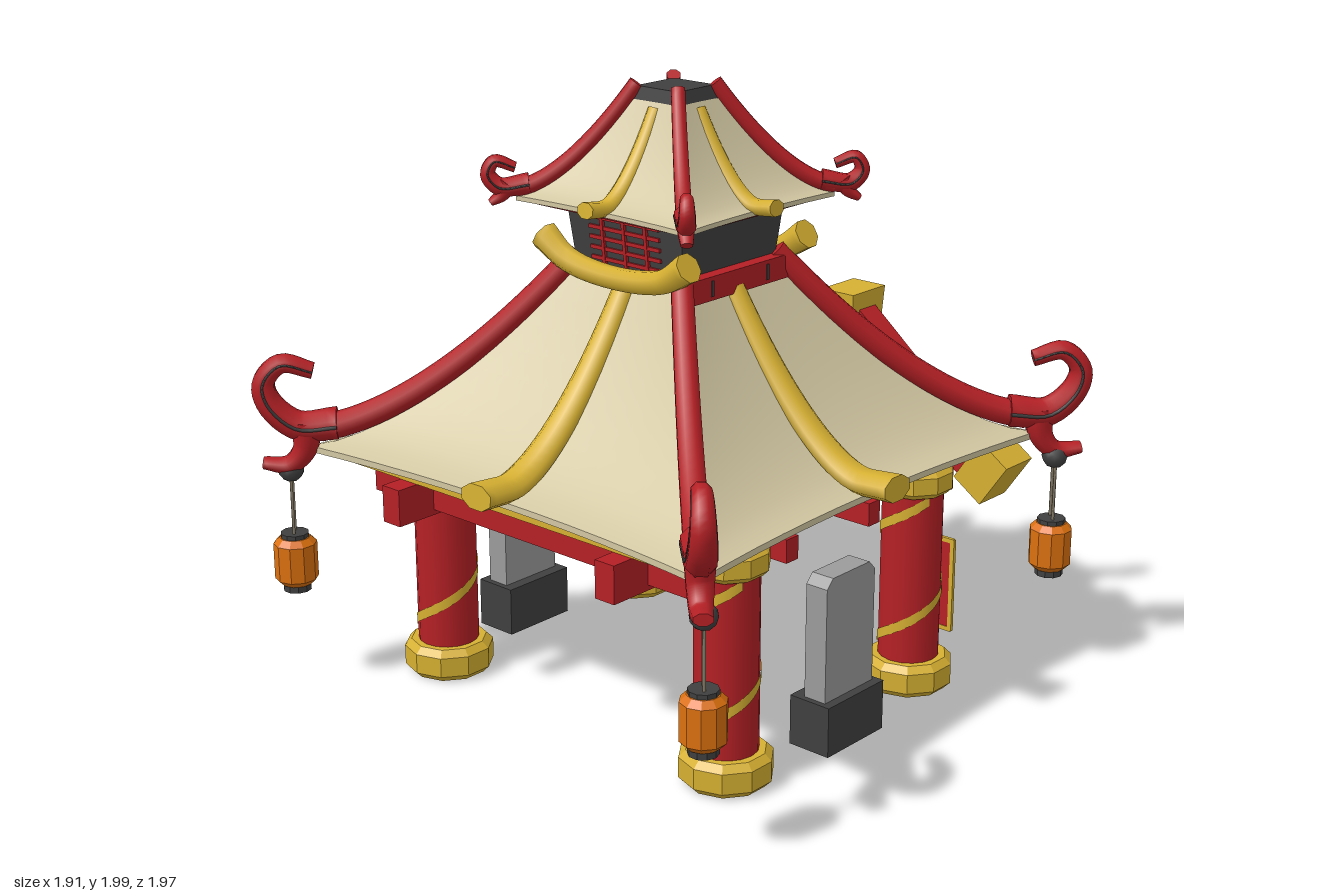
import * as THREE from 'three';

const mat = (name, color, side = THREE.FrontSide) => {
  const m = new THREE.MeshStandardMaterial({ color, side });
  m.name = name;
  return m;
};
const CZ = 0.025; // roof centre in z
const R2 = Math.SQRT2;
const lerp = THREE.MathUtils.lerp;

function buffer(pos, idx) {
  const g = new THREE.BufferGeometry();
  g.setAttribute('position', new THREE.Float32BufferAttribute(pos, 3));
  g.setIndex(idx);
  g.computeVertexNormals();
  return g;
}

// Capped tube along a path in the xy plane; half width w (along z) and half thickness h are functions of t
function sweep(path, w, h) {
  const curve = new THREE.CatmullRomCurve3(path.map(([x, y]) => new THREE.Vector3(x, y, 0)));
  const n = 24, sides = 8, pos = [], idx = [];
  for (let i = 0; i <= n; i++) {
    const t = i / n, c = curve.getPoint(t), d = curve.getTangent(t);
    for (let j = 0; j < sides; j++) {
      const a = (j + 0.5) / sides * Math.PI * 2, r = h(t) * Math.cos(a);
      pos.push(c.x - d.y * r, c.y + d.x * r, w(t) * Math.sin(a));
    }
  }
  for (let i = 0; i < n; i++) for (let j = 0; j < sides; j++) {
    const a = i * sides + j, d = i * sides + (j + 1) % sides, b = a + sides, c = d + sides;
    idx.push(a, d, c, a, c, b);
  }
  // End caps with their own vertices
  for (const ring of [0, n]) {
    const s = pos.length / 3;
    for (let j = 0; j < sides * 3; j++) pos.push(pos[ring * sides * 3 + j]);
    for (let j = 1; j < sides - 1; j++) ring ? idx.push(s, s + j, s + j + 1) : idx.push(s, s + j + 1, s + j);
  }
  return buffer(pos, idx);
}
const taper = (a, b) => t => lerp(a, b, t);

// One roof side from a profile of [half size, y]; the eave bows inward by k
function roofPanel(profile, k) {
  const pos = [], idx = [], n = 12;
  for (const [s, y] of profile) for (let i = 0; i <= n; i++) {
    const u = i / n * 2 - 1;
    pos.push(s * u, y, s * (1 - k * (1 - u * u)));
  }
  for (let r = 0; r < profile.length - 1; r++) for (let i = 0; i < n; i++) {
    const a = r * (n + 1) + i, d = a + n + 1;
    idx.push(a, a + 1, d + 1, a, d + 1, d);
  }
  return buffer(pos, idx);
}

// Flat-sided versions of round geometries
const flat = g => {
  const f = g.toNonIndexed();
  f.computeVertexNormals();
  return f;
};
const facet = (rt, rb, h, sides) => flat(new THREE.CylinderGeometry(rt, rb, h, sides).rotateY(Math.PI / sides));

// Chamfered drum standing from y0 to y1
const drum = (r, y0, y1, c) => flat(new THREE.LatheGeometry(
  [[0, y0], [r - c, y0], [r, y0 + c], [r, y1 - c], [r - c, y1], [0, y1]].map(p => new THREE.Vector2(...p)), 10));

// Stripe that winds up a column
function spiral(r, y0, y1, pitch, band) {
  const pos = [], idx = [], n = 72;
  for (let i = 0; i <= n; i++) {
    const y = lerp(y0, y1, i / n), a = (y - 0.22) / pitch * Math.PI * 2;
    for (const s of [-1, 1]) pos.push(r * Math.sin(a), y + s * band / 2, r * Math.cos(a));
    if (i < n) idx.push(2 * i, 2 * i + 2, 2 * i + 3, 2 * i, 2 * i + 3, 2 * i + 1);
  }
  return buffer(pos, idx);
}

export function createModel() {
  const red = mat('red lacquer', 0xb52025), darkRed = mat('dark red', 0x74151a);
  const gold = mat('gold', 0xd6b032, THREE.DoubleSide), cream = mat('cream roof', 0xd3c8a3, THREE.DoubleSide);
  const dark = mat('charcoal', 0x404040), grey = mat('stone grey', 0x9b9b9b);
  const orange = mat('lantern orange', 0xdb700f), cord = mat('cord', 0x857a66);
  const model = new THREE.Group();
  const group = (name, x, z) => {
    const g = new THREE.Group();
    g.name = name;
    g.position.set(x, 0, z);
    model.add(g);
    return g;
  };
  const add = (name, geo, m, x = 0, y = 0, z = 0, parent = model) => {
    const mesh = new THREE.Mesh(geo, m);
    mesh.name = name;
    mesh.position.set(x, y, z);
    parent.add(mesh);
    return mesh;
  };
  const box = (name, m, w, h, d, x, y, z, parent) => add(name, new THREE.BoxGeometry(w, h, d), m, x, y, z, parent);

  // Columns with bases, capitals and stripes
  for (const x of [-0.608, 0.608]) for (const z of [0.48, -0.435]) {
    add('column', new THREE.CylinderGeometry(0.1, 0.1, 0.62, 16), red, x, 0.4, z);
    add('columnBase', drum(0.147, 0, 0.11, 0.022), gold, x, 0, z);
    add('columnCapital', drum(0.13, 0.68, 0.77, 0.018), gold, x, 0, z);
    add('columnStripe', spiral(0.103, 0.12, 0.67, 0.38, 0.035), gold, x, 0, z);
  }

  // Beams and ceiling
  for (const x of [-0.455, 0.455]) box('sideBeam', red, 0.075, 0.12, 1.63, x, 0.71, CZ);
  for (const z of [0.67, 0.28, -0.12, -0.51]) box('crossBeam', red, 1.38, 0.075, 0.055, 0, 0.705, z);
  box('ceiling', darkRed, 1.4, 0.035, 1.43, 0, 0.785, CZ);
  for (const s of [-1, 1]) {
    box('eaveTrim', gold, 1.47, 0.035, 0.03, 0, 0.788, CZ + s * 0.725);
    box('eaveTrimSide', gold, 0.04, 0.012, 1.44, s * 0.715, 0.799, CZ);
  }

  // A roof of four sides: ribs and ridges follow its slope, ridges end in curls
  function roof(name, { k, s0, s1, y0, y1, lip, soffit, rib, ridge, curl, tail, thick }) {
    const g = group(name, 0, CZ);
    const slope = s => y0 + (y1 - y0) * Math.max(0, (s0 - s) / (s0 - s1)) ** 1.6;
    const steps = Array.from({ length: 11 }, (_, i) => i / 10);
    const profile = steps.map(t => lerp(s0, s1, t)).map(s => [s, slope(s)]);
    const eave = [[soffit, y0 - lip], [s0, y0 - lip], [s0, y0 - lip], [s0, y0], ...profile];
    const follow = ([from, to, lift0, lift1], inset) => steps.map(t => {
      const x = lerp(from, to, t);
      return [x, slope(x / (1 - inset)) + lerp(lift0, lift1, t)];
    });
    const diag = path => path.map(([s, y]) => [s * R2, y]);
    const end = taper(thick * 1.4, thick * 0.7);
    const parts = [
      ['roofSide', roofPanel(eave, k), cream, 0],
      ['roofRib', sweep(follow(rib, k), taper(thick, rib[4]), taper(thick * 0.8, thick * 1.1)), gold, 0],
      ['roofRidge', sweep(diag(follow(ridge, 0)), taper(thick * 0.95, thick * 1.15), taper(thick, thick * 1.15)), red, 0.5],
      ['ridgeCurl', sweep(diag(curl), end, end), red, 0.5],
      ['curlInlay', sweep(diag(curl), t => end(t) * 1.06, t => end(t) * 0.25), dark, 0.5],
      ['ridgeTail', sweep(diag(tail), taper(thick * 1.3, thick * 0.8), taper(thick * 1.4, thick * 0.5)), red, 0.5],
    ];
    for (let i = 0; i < 4; i++) for (const [part, geo, m, turn] of parts) {
      add(part, geo, m, 0, 0, 0, g).rotation.y = (i + turn) * Math.PI / 2;
    }
  }
  roof('mainRoof', {
    k: 0.07, s0: 0.825, s1: 0.24, y0: 0.825, y1: 1.4, lip: 0.02, soffit: 0.7, thick: 0.038,
    rib: [0.225, 0.88, 0, 0.047, 0.066], ridge: [0.22, 0.8, 0.015, 0.055],
    curl: [[0.76, 0.9], [0.85, 0.895], [0.91, 0.97], [0.92, 1.04], [0.88, 1.1], [0.81, 1.075]],
    tail: [[0.83, 0.91], [0.835, 0.82], [0.87, 0.765], [0.93, 0.77]],
  });
  roof('upperRoof', {
    k: 0.05, s0: 0.35, s1: 0.1, y0: 1.63, y1: 1.93, lip: 0.015, soffit: 0.2, thick: 0.024,
    rib: [0.095, 0.405, -0.02, 0.018, 0.034], ridge: [0.085, 0.35, 0.02, 0.025],
    curl: [[0.32, 1.67], [0.385, 1.66], [0.41, 1.7], [0.395, 1.74], [0.35, 1.72]],
    tail: [[0.365, 1.67], [0.38, 1.635], [0.405, 1.61]],
  });

  // Tower neck, lattice windows, crescents and finial block
  add('neck', facet(0.24 * R2, 0.215 * R2, 0.24, 4), dark, 0, 1.5, CZ);
  box('neckTopPlate', darkRed, 0.6, 0.02, 0.6, 0, 1.61, CZ);
  add('finialBlock', facet(0.085 * R2, 0.11 * R2, 0.1, 4), dark, 0, 1.92, CZ);
  const flare = t => 0.036 + 0.05 * (t - 0.5) ** 2;
  const crescent = sweep([[-0.3, 1.5], [-0.2, 1.44], [0, 1.415], [0.2, 1.44], [0.3, 1.5]], flare, flare);
  for (const s of [-1, 1]) {
    for (let i = 0; i < 5; i++) box('latticeBar', red, 0.29, 0.012, 0.012, 0, 1.45 + i * 0.033, CZ + s * (0.224 + i * 0.0035));
    for (const x of [-0.09, 0, 0.09]) box('latticePost', red, 0.012, 0.17, 0.014, x, 1.515, CZ + s * 0.232).rotation.x = s * 0.104;
    add('crescent', crescent, gold, 0, 0, CZ + s * 0.278);
    box('neckSideBand', red, 0.06, 0.075, 0.46, s * 0.235, 1.4, CZ);
    for (const z of [-0.13, 0.13]) box('bandTick', dark, 0.064, 0.05, 0.012, s * 0.236, 1.4, CZ + z);
  }

  // Hanging corner lanterns
  for (const x of [-0.875, 0.875]) for (const s of [-1, 1]) {
    const lantern = group('lantern', x, CZ + s * 0.865);
    add('lanternBody', drum(0.07, 0.355, 0.515, 0.02), orange, 0, 0, 0, lantern);
    for (const y of [0.345, 0.517]) add('lanternCap', facet(0.046, 0.046, 0.025, 10), dark, 0, y, 0, lantern);
    for (const c of [-0.014, 0.014]) add('lanternCord', new THREE.CylinderGeometry(0.005, 0.005, 0.22, 6), cord, c, 0.62, c, lantern);
    add('lanternKnot', new THREE.IcosahedronGeometry(0.042, 1), dark, 0, 0.745, 0, lantern);
  }

  // Stone tablets on blocks
  const outline = [[-0.118, 0.17], [0.118, 0.17], [0.118, 0.55], [0.09, 0.58], [-0.09, 0.58], [-0.118, 0.55]];
  const slab = new THREE.ExtrudeGeometry(new THREE.Shape(outline.map(p => new THREE.Vector2(...p))), { depth: 0.08, bevelEnabled: false })
    .translate(0, 0, -0.04).rotateY(Math.PI / 2);
  for (const s of [-1, 1]) {
    box('tabletBase', dark, 0.15, 0.165, 0.275, s * 0.69, 0.0925, 0.048);
    add('stoneTablet', slab, grey, s * 0.695, 0, 0.048);
    add('tabletHole', new THREE.CylinderGeometry(0.025, 0.025, 0.006, 12).rotateZ(Math.PI / 2), dark, s * 0.653, 0.43, 0.048);
  }

  // Framed banners on the back columns
  for (const x of [-0.608, 0.608]) {
    box('bannerBracket', gold, 0.03, 0.03, 0.07, x, 0.575, -0.55);
    box('bannerHanger', gold, 0.012, 0.13, 0.012, x, 0.535, -0.555);
    box('bannerCloth', red, 0.14, 0.3, 0.006, x, 0.32, -0.566);
    for (const s of [-1, 1]) {
      box('bannerFrameSide', gold, 0.015, 0.32, 0.012, x + s * 0.072, 0.32, -0.566);
      box('bannerFrameEnd', gold, 0.15, 0.015, 0.012, x, 0.32 + s * 0.155, -0.566);
    }
  }

  // Chevron ornament at the back
  for (const s of [-1, 1]) {
    const arm = group('chevronArm', 0, -0.89);
    if (s < 0) arm.rotation.y = Math.PI;
    const back = -s; // local direction of the ornament's outer face
    box('chevronBeam', red, 0.4, 0.13, 0.09, 0.15, 0.925, 0, arm).rotation.z = -0.69;
    box('chevronBeam', red, 0.36, 0.13, 0.09, 0.44, 0.705, 0, arm).rotation.z = -0.6;
    box('chevronEnd', gold, 0.13, 0.18, 0.15, 0.605, 0.625, 0, arm).rotation.z = -0.6;
    box('endPlate', grey, 0.08, 0.12, 0.006, 0.605, 0.625, back * 0.077, arm).rotation.z = -0.6;
    for (const [x, y] of [[0.15, 0.925], [0.3, 0.805], [0.44, 0.705]]) {
      add('chevronStud', new THREE.SphereGeometry(0.018, 8, 6), gold, x, y, back * 0.047, arm);
    }
  }
  add('chevronApex', facet(0.095 * R2, 0.075 * R2, 0.26, 4).scale(0.72, 1, 0.95), gold, 0, 1.01, -0.893);
  box('apexPlate', grey, 0.075, 0.17, 0.006, 0, 1.01, -0.976).rotation.x = -0.073;

  return model;
}
